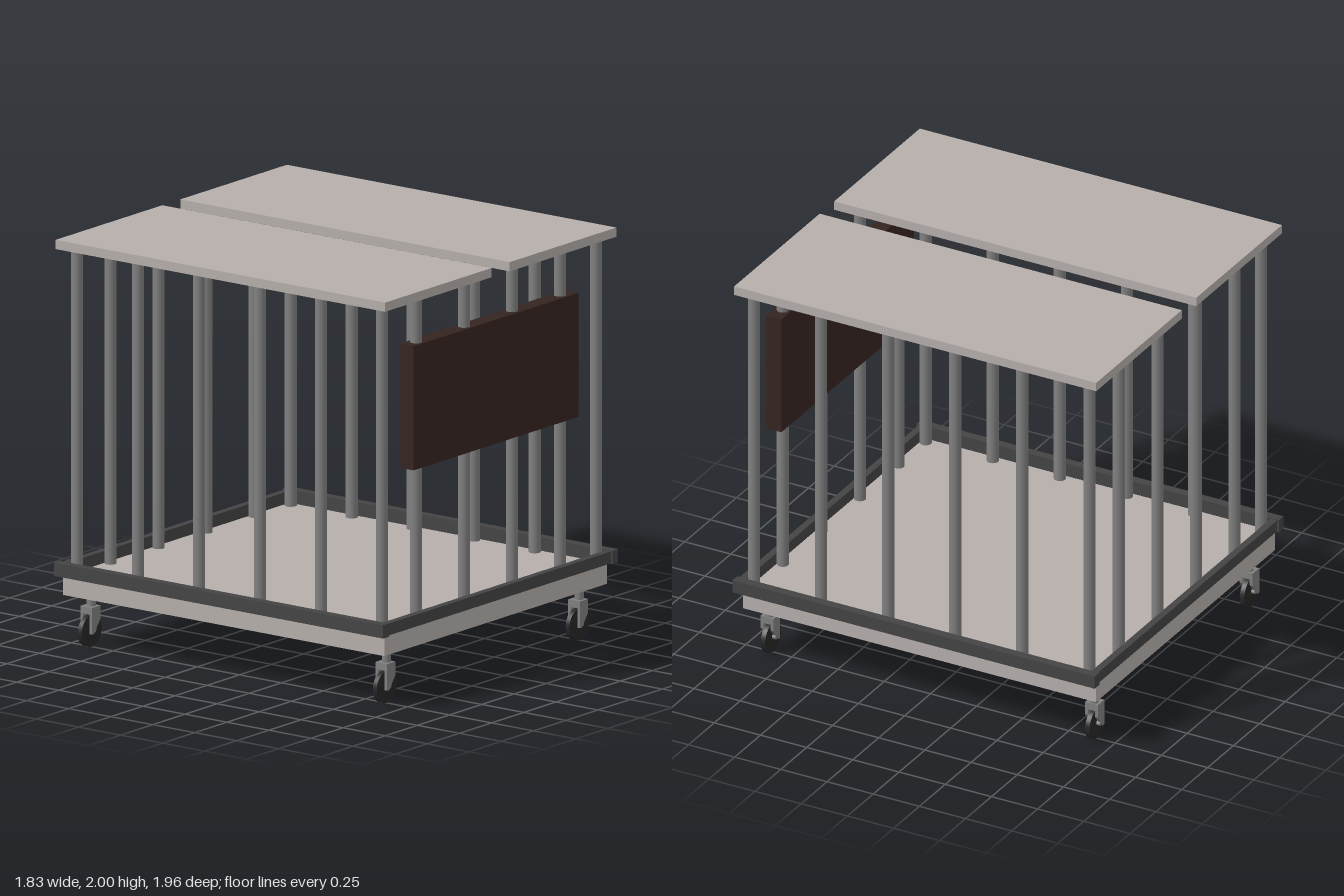
import * as THREE from 'three';

const mat = (color) => new THREE.MeshStandardMaterial({ color });

export function createModel() {
  const model = new THREE.Group();
  const cream = mat(0xb5aeab), steel = mat(0x808080), dark = mat(0x444444);
  const brown = mat(0x35241f), rubber = mat(0x262626);

  const add = (parent, name, geometry, material, x, y, z) => {
    const mesh = new THREE.Mesh(geometry, material);
    mesh.name = name;
    mesh.position.set(x, y, z);
    parent.add(mesh);
    return mesh;
  };
  // Box given by its minimum and maximum corners
  const box = (parent, name, material, [x0, y0, z0], [x1, y1, z1]) =>
    add(parent, name, new THREE.BoxGeometry(x1 - x0, y1 - y0, z1 - z0), material,
      (x0 + x1) / 2, (y0 + y1) / 2, (z0 + z1) / 2);

  // Floor and the front sign panel
  box(model, 'floor', cream, [-0.865, 0.265, -0.96], [0.865, 0.365, 0.95]);
  box(model, 'signPanel', brown, [-0.64, 1.125, 0.868], [0.64, 1.73, 0.952]);

  // Two roof boards with an open slot between them, and the side rails
  for (const s of [-1, 1]) {
    add(model, 'roofBoard', new THREE.BoxGeometry(0.828, 0.045, 1.96), cream, s * 0.484, 1.9775, 0);
    add(model, 'sideRail', new THREE.BoxGeometry(0.045, 0.065, 1.96), dark, s * 0.89, 0.397, 0);
  }
  box(model, 'frontRail', dark, [-0.868, 0.367, 0.935], [0.868, 0.425, 0.97]);
  box(model, 'backRail', dark, [-0.868, 0.367, -0.97], [0.868, 0.425, -0.935]);

  // Cage bars: six along each side, four more across front and back
  const barGeometry = new THREE.CylinderGeometry(0.029, 0.029, 1.59, 16);
  const bar = (x, z) => add(model, 'bar', barGeometry, steel, x, 1.16, z);
  for (const z of [0.91, 0.547, 0.184, -0.179, -0.542, -0.905]) {
    bar(-0.83, z);
    bar(0.83, z);
  }
  for (const x of [-0.567, -0.194, 0.179, 0.552]) {
    bar(x, 0.91);
    bar(x + 0.006, -0.912);
  }

  // Casters: stem, forked bracket with slanted cheeks, wheel
  const cheek = new THREE.ExtrudeGeometry(new THREE.Shape([
    new THREE.Vector2(-0.027, 0.07), new THREE.Vector2(-0.012, 0.07), new THREE.Vector2(0.037, 0.135),
    new THREE.Vector2(0.037, 0.2), new THREE.Vector2(-0.027, 0.2),
  ]), { depth: 0.016, bevelEnabled: false });
  const wheel = new THREE.CylinderGeometry(0.078, 0.078, 0.024, 32).rotateX(Math.PI / 2);
  const axle = new THREE.CylinderGeometry(0.012, 0.012, 0.06, 12).rotateX(Math.PI / 2);
  const stem = new THREE.CylinderGeometry(0.022, 0.022, 0.075, 16);
  for (const x of [-0.75, 0.747]) {
    for (const z of [0.865, -0.89]) {
      const caster = new THREE.Group();
      caster.name = 'caster';
      caster.position.set(x, 0, z);
      add(caster, 'wheel', wheel, rubber, 0, 0.08, 0);
      add(caster, 'axle', axle, steel, 0, 0.085, 0);
      add(caster, 'stem', stem, steel, 0.012, 0.23, 0);
      box(caster, 'forkTop', steel, [-0.027, 0.165, -0.019], [0.037, 0.2, 0.019]);
      add(caster, 'forkCheek', cheek, steel, 0, 0, 0.019);
      add(caster, 'forkCheek', cheek, steel, 0, 0, -0.035);
      model.add(caster);
    }
  }
  return model;
}
